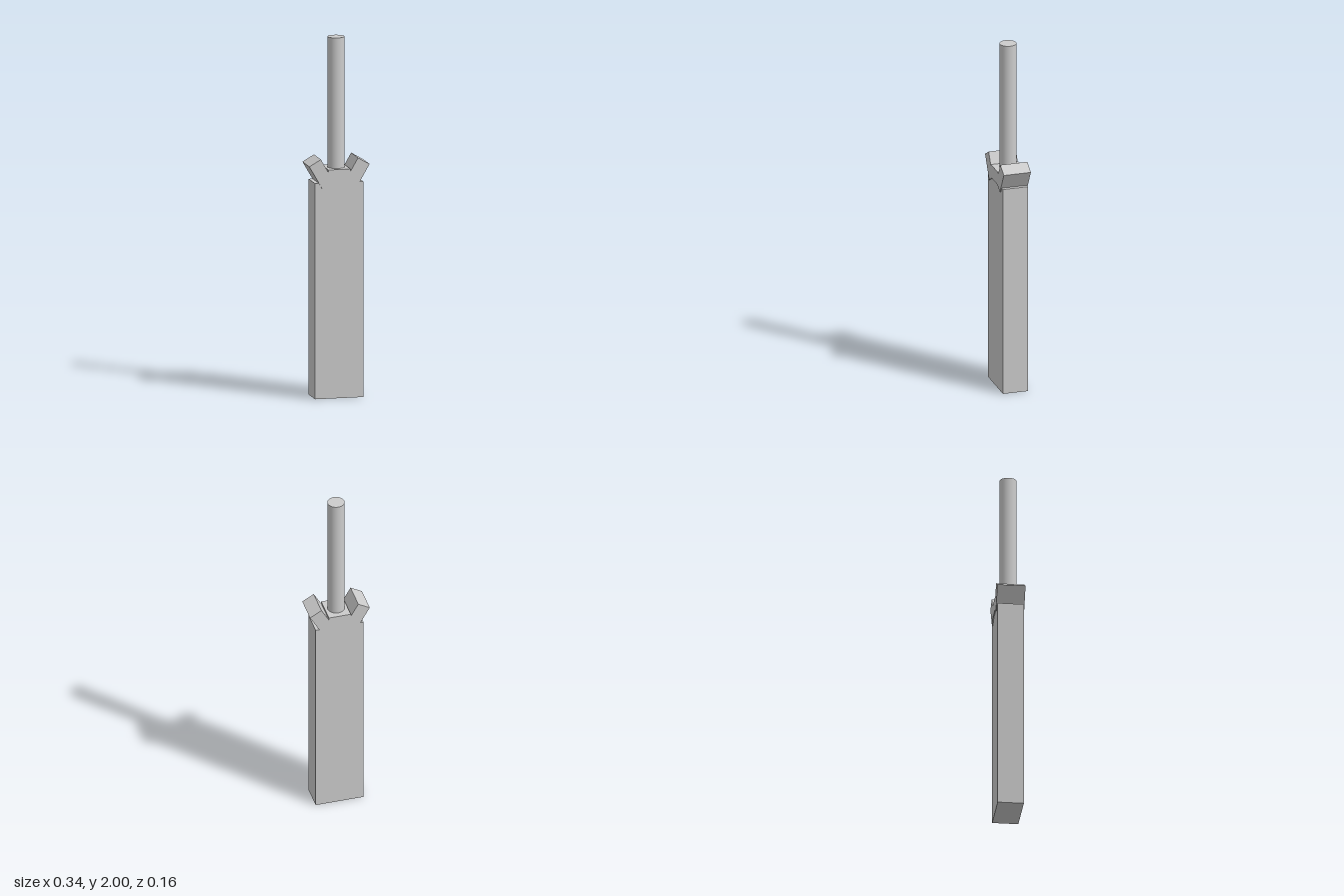
import * as THREE from 'three';

export function createModel() {
  const model = new THREE.Group();
  const grey = new THREE.MeshStandardMaterial({ color: 0xcccccc });
  grey.name = 'plain grey';

  function add(name, geometry, x, y, tilt = 0) {
    const mesh = new THREE.Mesh(geometry, grey);
    mesh.name = name;
    mesh.position.set(x, y, 0);
    mesh.rotation.z = tilt;
    model.add(mesh);
  }

  // Long flat blade
  add('blade', new THREE.BoxGeometry(0.272, 1.2, 0.144), 0, 0.6);

  // Guard: a centre block with two prongs splayed outwards
  add('guardCentre', new THREE.BoxGeometry(0.124, 0.075, 0.155), 0, 1.236);
  for (const side of [1, -1]) {
    add(side > 0 ? 'leftGuardProng' : 'rightGuardProng',
      new THREE.BoxGeometry(0.075, 0.145, 0.155), side * 0.101, 1.252, -side * Math.PI / 6);
  }

  // Round handle
  add('handle', new THREE.CylinderGeometry(0.047, 0.047, 0.75, 32), 0, 1.625);

  return model;
}
